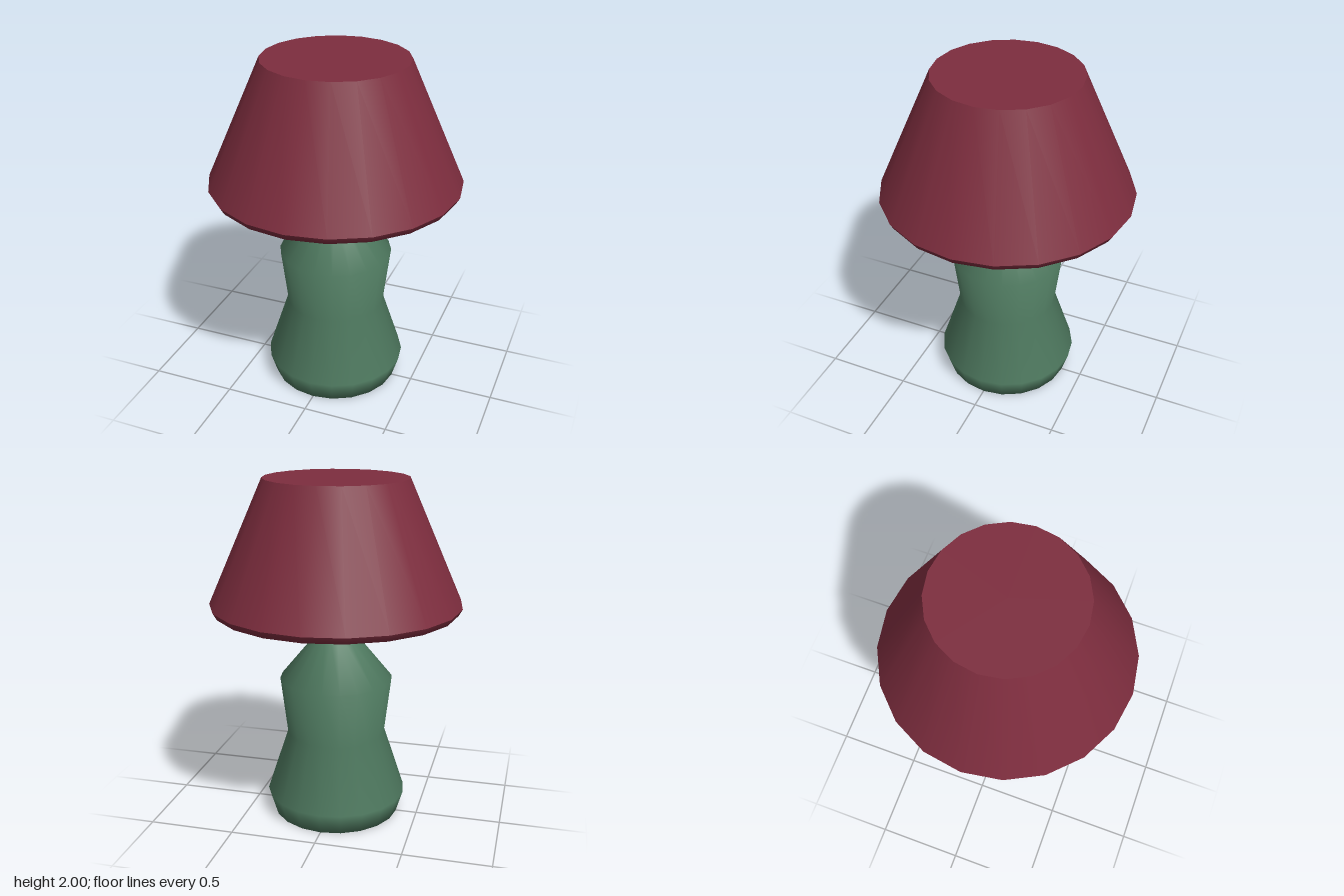
import * as THREE from 'three';

const SIDES = 20;
const base = new THREE.MeshStandardMaterial({ color: 0x4f7a60 });
base.name = 'sage green ceramic';
const shade = new THREE.MeshStandardMaterial({ color: 0x7d2d3e });
shade.name = 'burgundy fabric';
const brass = new THREE.MeshStandardMaterial({ color: 0xb88d45 });
brass.name = 'brass';

// Surface of revolution from [radius, height] pairs, listed from bottom to top
function turned(name, profile, material) {
  const points = profile.map(([r, y]) => new THREE.Vector2(r, y));
  const mesh = new THREE.Mesh(new THREE.LatheGeometry(points, SIDES), material);
  mesh.name = name;
  return mesh;
}

// Flat disc facing up
function disc(name, radius, y, material) {
  const geometry = new THREE.CircleGeometry(radius, SIDES).rotateX(-Math.PI / 2);
  const mesh = new THREE.Mesh(geometry, material);
  mesh.name = name;
  mesh.position.y = y;
  return mesh;
}

export function createModel() {
  const lamp = new THREE.Group();
  lamp.name = 'tableLamp';

  // Waisted ceramic body with its underside and top
  lamp.add(turned('lampBase',
    [[0, 0], [0.375, 0], [0.413, 0.125], [0.29, 0.5], [0.33, 0.835], [0.125, 1.085]], base));
  lamp.add(disc('baseTop', 0.125, 1.085, base));

  // Slim stem between body and shade
  const stem = new THREE.Mesh(new THREE.CylinderGeometry(0.034, 0.034, 0.24, 16), brass);
  stem.name = 'stem';
  stem.position.y = 1.17;
  lamp.add(stem);

  // Tapered shade with a tucked-in lower rim, closed above and below
  lamp.add(turned('shadeUnderside', [[0, 1.252], [0.705, 1.252], [0.727, 1.29]], shade));
  lamp.add(turned('shadeSide', [[0.727, 1.29], [0.413, 2]], shade));
  lamp.add(disc('shadeTop', 0.413, 2, shade));

  return lamp;
}
